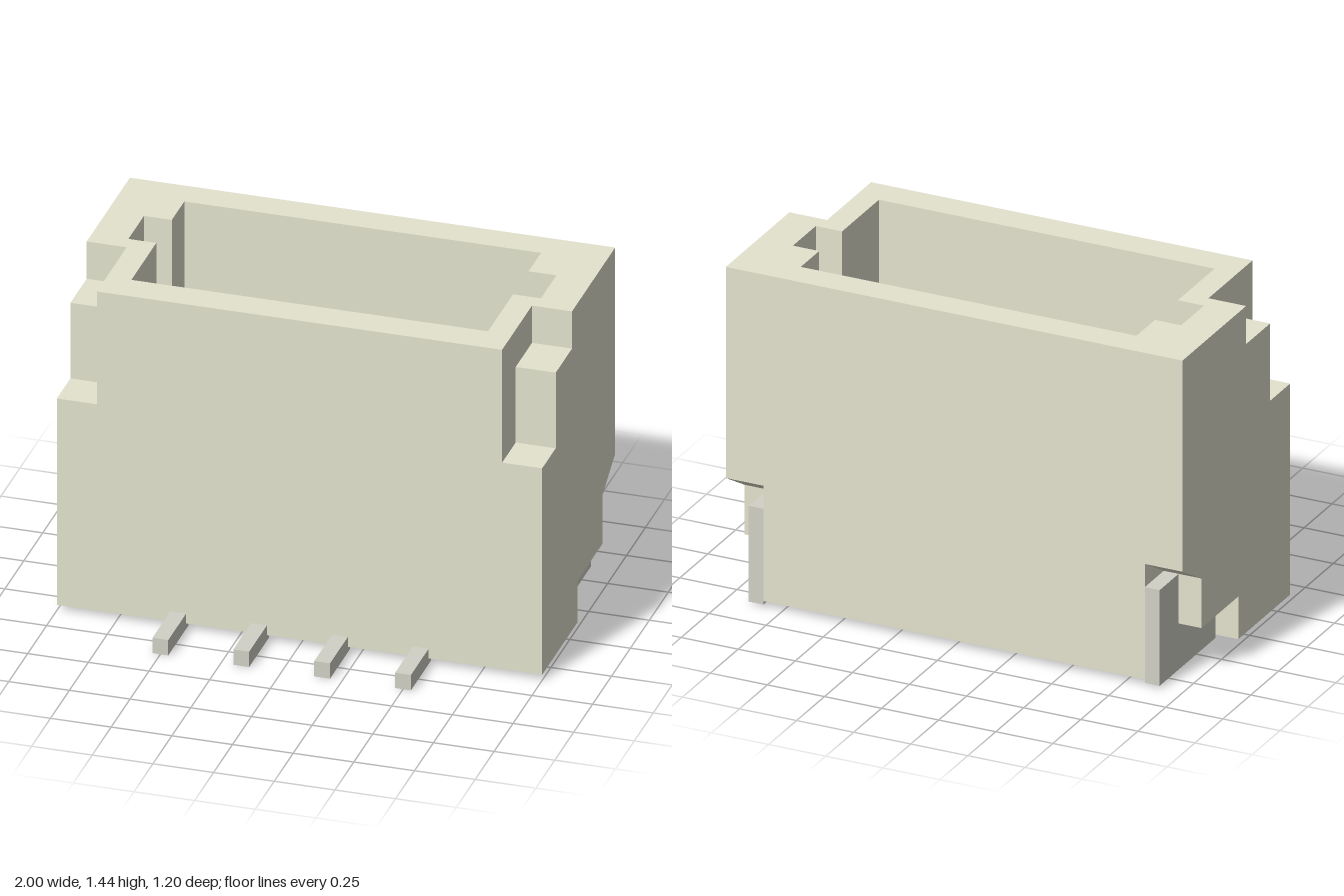
import * as THREE from 'three';

const BOTTOM = 0.025, TOP = 1.44, FLOOR = 0.42;
const BACK = -0.6, FRONT = 0.365;

const shapeOf = (pts) => new THREE.Shape(pts.map(([a, b]) => new THREE.Vector2(a, b)));

// Extrude a (z, y) side profile along x, from x0 to x1
function slab(profile, x0, x1) {
  const geo = new THREE.ExtrudeGeometry(shapeOf(profile.map(([z, y]) => [-z, y])),
    { depth: x1 - x0, bevelEnabled: false });
  return geo.rotateY(Math.PI / 2).translate(x0, 0, 0);
}

// Extrude an (x, z) plan along y, from y0 to y1
function column(plan, y0, y1) {
  const geo = new THREE.ExtrudeGeometry(shapeOf(plan.map(([x, z]) => [x, -z])),
    { depth: y1 - y0, bevelEnabled: false });
  return geo.rotateX(-Math.PI / 2).translate(0, y0, 0);
}

function box(x0, x1, y0, y1, z0, z1) {
  return new THREE.BoxGeometry(x1 - x0, y1 - y0, z1 - z0)
    .translate((x0 + x1) / 2, (y0 + y1) / 2, (z0 + z1) / 2);
}

export function createModel() {
  const model = new THREE.Group();
  const plastic = new THREE.MeshStandardMaterial({ color: 0xe4e3cf });
  const metal = new THREE.MeshStandardMaterial({ color: 0xd2d1c7 });

  const housing = new THREE.Group();
  housing.name = 'housing';
  model.add(housing);
  const add = (parent, name, geo, mat) => {
    const mesh = new THREE.Mesh(geo, mat);
    mesh.name = name;
    parent.add(mesh);
  };

  // Middle of the housing: floor and two U-shaped walls around the cavity
  const W = 0.835, C = 0.735, slotFront = -0.1, slotBack = -0.305;
  add(housing, 'cavityFloor', box(-W, W, BOTTOM, FLOOR, BACK, FRONT), plastic);
  const uWall = (outer, inner, end) => column([
    [-W, outer], [W, outer], [W, end], [C, end], [C, inner], [-C, inner], [-C, end], [-W, end],
  ], FLOOR, TOP);
  add(housing, 'frontWall', uWall(FRONT, 0.23, slotFront), plastic);
  add(housing, 'backWall', uWall(BACK, -0.47, slotBack), plastic);

  // Housing ends: stepped front corners, clip recess low at the back
  const endProfile = (slot) => [
    [FRONT, BOTTOM], [FRONT, 0.94], [0.185, 0.94], [0.185, 1.275], [-0.03, 1.275], [-0.03, TOP],
    ...slot,
    [BACK, TOP], [BACK, 0.525], [-0.43, 0.425], [-0.43, 0.21], [-0.1, 0.21], [-0.1, BOTTOM],
  ];
  const slot = [[slotFront, TOP], [slotFront, FLOOR], [slotBack, FLOOR], [slotBack, TOP]];
  const clip = [[-0.1, 0.01], [-0.1, 0.21], [-0.43, 0.21], [-0.43, 0.425], [BACK, 0.425], [BACK, 0.01]];
  for (const [side, s] of [['left', 1], ['right', -1]]) {
    const sided = (profile, a, b) => (s > 0 ? slab(profile, a, b) : slab(profile, -b, -a));
    add(housing, side + 'SlotWall', sided(endProfile(slot), W, 0.85), plastic);
    add(housing, side + 'EndWall', sided(endProfile([]), 0.85, 1), plastic);
    add(model, side + 'MountingClip', sided(clip, W, 0.9), metal);
  }

  // Four contacts: a post with a tapered tip in the cavity, a flat foot in front
  const post = [[-0.17, FLOOR - 0.02], [-0.17, 0.95], [-0.22, 1.1], [-0.33, 1.1], [-0.33, FLOOR - 0.02]];
  for (let i = 0; i < 4; i++) {
    const x = (i - 1.5) / 3, h = 0.0325;
    const contact = new THREE.Group();
    contact.name = 'contact' + (i + 1);
    add(contact, 'post', slab(post, x - h, x + h), metal);
    add(contact, 'solderFoot', box(x - h, x + h, 0, 0.068, 0.335, 0.6), metal);
    model.add(contact);
  }
  return model;
}
